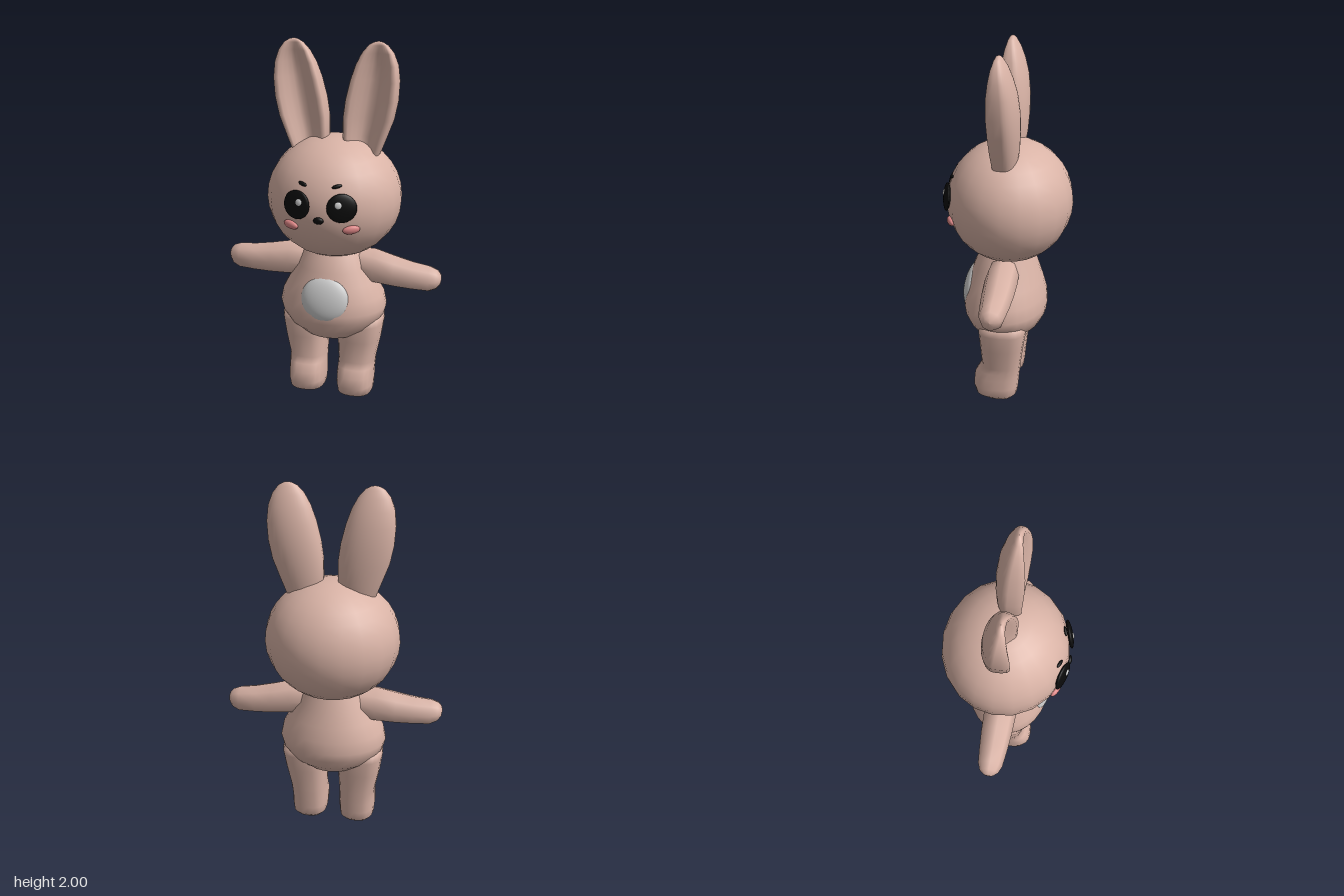
import * as THREE from 'three';

const mat = (color) => new THREE.MeshStandardMaterial({ color, roughness: 0.8 });
const fur = mat(0xd9b3a6), black = mat(0x0a0a0a), blush = mat(0xdb8585), grey = mat(0xcccccc);

// Smooth skin over closed rings; point(row, angle) returns [x, y, z].
// side = -1 reverses the ring so mirrored parts still face outward.
function loft(name, rows, n, side, point) {
  const pos = [], idx = [];
  rows.forEach((row, i) => {
    for (let j = 0; j < n; j++) {
      pos.push(...point(row, (side * j * Math.PI * 2) / n));
      if (i < rows.length - 1) {
        const k = (j + 1) % n, a = i * n + j, b = i * n + k;
        idx.push(a, a + n, b, b, a + n, b + n);
      }
    }
  });
  const geo = new THREE.BufferGeometry();
  geo.setAttribute('position', new THREE.Float32BufferAttribute(pos, 3));
  geo.setIndex(idx);
  geo.computeVertexNormals();
  const mesh = new THREE.Mesh(geo, fur);
  mesh.name = name;
  return mesh;
}

function ellipsoid(name, material, r, p, segs = 20) {
  const mesh = new THREE.Mesh(new THREE.SphereGeometry(1, segs, Math.round(segs * 0.8)), material);
  mesh.name = name;
  mesh.scale.set(...r);
  mesh.position.set(...p);
  return mesh;
}

const HEAD = { c: [0.005, 1.165, -0.005], r: [0.366, 0.336, 0.34] };

// Flattened ellipsoid lying on the front of the head at (x, y)
function faceSpot(name, material, x, y, r, lift = 0, tilt = 0) {
  const { c, r: h } = HEAD;
  const u = (x - c[0]) / h[0], v = (y - c[1]) / h[1];
  const w = Math.sqrt(1 - u * u - v * v);
  const normal = new THREE.Vector3(u / h[0], v / h[1], w / h[2]).normalize();
  const mesh = ellipsoid(name, material, r, [x, y, c[2] + w * h[2]]);
  mesh.position.addScaledVector(normal, lift);
  mesh.lookAt(mesh.position.clone().add(normal));
  mesh.rotateZ(tilt);
  return mesh;
}

// Torso rings: y, half width, front z, back z
const BODY = [
  [0.335, 0, 0.02, 0.02], [0.345, 0.07, 0.1, -0.05], [0.385, 0.165, 0.175, -0.125],
  [0.44, 0.245, 0.222, -0.18], [0.5, 0.287, 0.246, -0.21], [0.55, 0.3, 0.252, -0.217],
  [0.62, 0.285, 0.243, -0.211], [0.7, 0.243, 0.22, -0.19], [0.78, 0.2, 0.193, -0.165],
  [0.85, 0.17, 0.165, -0.143], [0.92, 0.13, 0.12, -0.12],
];

// Leg rings with the foot bulging forward: y, centre x, half width, front z, back z
const LEG = [
  [0.005, 0.14, 0, 0.05, 0.05], [0.005, 0.14, 0.075, 0.115, -0.045], [0.03, 0.14, 0.098, 0.165, -0.068],
  [0.08, 0.14, 0.103, 0.18, -0.075], [0.14, 0.14, 0.103, 0.175, -0.08], [0.185, 0.142, 0.103, 0.15, -0.085],
  [0.22, 0.143, 0.104, 0.13, -0.088], [0.35, 0.153, 0.12, 0.138, -0.105], [0.45, 0.161, 0.126, 0.145, -0.122],
  [0.49, 0.165, 0.118, 0.132, -0.115], [0.508, 0.165, 0.08, 0.09, -0.08], [0.51, 0.165, 0, 0, 0],
];

// Arm rings: x, centre y, half height, half depth
const ARM = [
  [0.08, 0.8, 0.08, 0.08], [0.24, 0.779, 0.101, 0.09], [0.35, 0.758, 0.09, 0.086], [0.45, 0.743, 0.08, 0.078],
  [0.54, 0.735, 0.074, 0.068], [0.58, 0.736, 0.056, 0.052], [0.6, 0.738, 0.03, 0.028], [0.605, 0.738, 0, 0],
];

// Ear rings: y, inner x, outer x, front z, back z, hollow amount
const EAR = [
  [1.36, 0.075, 0.205, 0.05, -0.055, 0.7], [1.42, 0.055, 0.24, 0.055, -0.065, 0.9],
  [1.5, 0.038, 0.27, 0.061, -0.078, 1], [1.6, 0.038, 0.307, 0.066, -0.085, 1],
  [1.7, 0.052, 0.327, 0.07, -0.085, 1], [1.8, 0.077, 0.333, 0.068, -0.074, 1],
  [1.88, 0.105, 0.325, 0.061, -0.053, 0.9], [1.94, 0.137, 0.303, 0.053, -0.03, 0.7],
  [1.98, 0.172, 0.272, 0.042, -0.008, 0.25], [1.995, 0.2, 0.245, 0.028, 0.004, 0], [2, 0.222, 0.222, 0.015, 0.015, 0],
];

const boxy = (t) => Math.sign(t) * Math.pow(Math.abs(t), 0.75);

function createModel() {
  const model = new THREE.Group();
  model.name = 'rabbit';

  model.add(ellipsoid('head', fur, HEAD.r, HEAD.c));
  model.add(loft('body', BODY, 28, 1, ([y, rx, zf, zb], a) =>
    [0.005 + rx * Math.cos(a), y, (zf + zb) / 2 + ((zf - zb) / 2) * Math.sin(a)]));

  // Round belly patch, leaning back with the torso
  const patch = ellipsoid('bellyPatch', grey, [0.133, 0.128, 0.05], [0.005, 0.635, 0.204], 28);
  patch.rotation.x = -0.2;
  model.add(patch);

  for (const side of [1, -1]) {
    const label = side > 0 ? 'left' : 'right';

    model.add(loft(label + 'Leg', LEG, 20, side, ([y, xc, rx, zf, zb], a) =>
      [0.005 + side * (xc + rx * boxy(Math.cos(a))), y, (zf + zb) / 2 + ((zf - zb) / 2) * boxy(Math.sin(a))]));

    // The right arm is held slightly higher
    model.add(loft(label + 'Arm', ARM, 8, side, ([x, yc, ry, rz], a) => {
      const raise = side < 0 ? 0.08 * (x - 0.25) : 0;
      return [side * x, yc + raise + ry * Math.cos(a), 0.008 - rz * Math.sin(a)];
    }));

    // Ear: rounded back, hollow front with a raised rim
    model.add(loft(label + 'Ear', EAR, 32, side, ([y, xi, xo, zf, zb, hollow], a) => {
      const s = Math.sin(a), zc = (zf + zb) / 2, h = (zf - zb) / 2;
      const f = s > 0 ? THREE.MathUtils.lerp(s, 2.6 * (s - s * s * s), hollow) : s;
      return [0.015 + side * ((xi + xo) / 2 + ((xo - xi) / 2) * Math.cos(a)), y, zc + h * f];
    }));

    // Face features
    model.add(faceSpot(label + 'Eye', black, 0.008 + side * 0.118, 1.205, [0.078, 0.075, 0.018], 0.002));
    model.add(faceSpot(label + 'EyeHighlight', grey, 0.009 + side * 0.099, 1.221, [0.019, 0.019, 0.008], 0.017));
    model.add(faceSpot(label + 'Brow', black, 0.005 + side * 0.09, 1.31, [0.027, 0.01, 0.008], 0.002, side * 0.25));
    model.add(faceSpot(label + 'Cheek', blush, 0.01 + side * 0.16, 1.085, [0.046, 0.024, 0.018], 0.002, side * 0.1));
  }
  model.add(faceSpot('nose', black, 0.01, 1.135, [0.027, 0.019, 0.014], 0.004));
  return model;
}

export { createModel };
